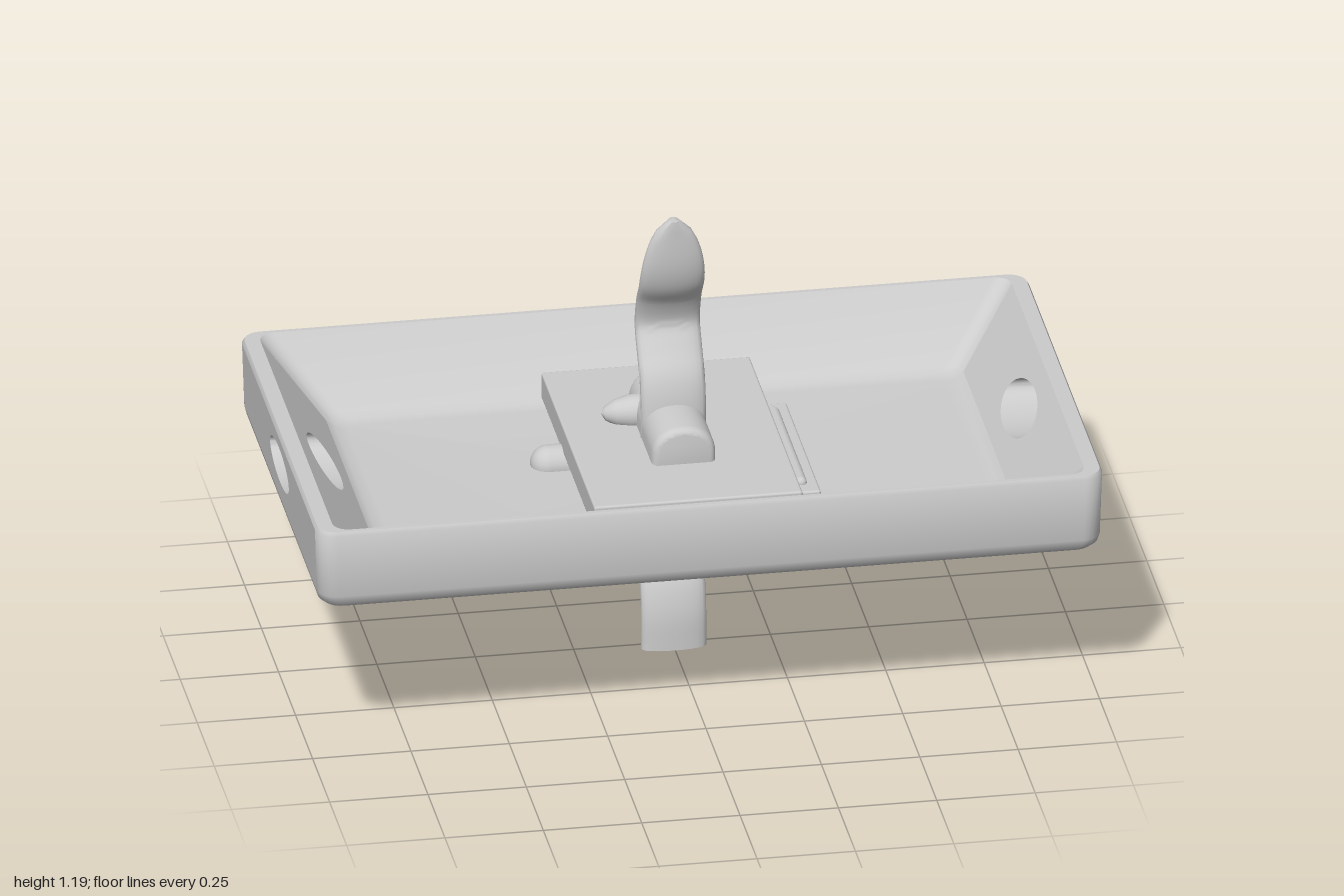
import * as THREE from 'three';
import { toCreasedNormals } from 'three/addons/utils/BufferGeometryUtils.js';
import { RoundedBoxGeometry } from 'three/addons/geometries/RoundedBoxGeometry.js';

const material = new THREE.MeshStandardMaterial({ color: 0xcccccc });

function add(parent, name, geometry, x = 0, y = 0, z = 0) {
  const mesh = new THREE.Mesh(geometry, material);
  mesh.name = name;
  mesh.position.set(x, y, z);
  parent.add(mesh);
  return mesh;
}

// Skin a list of closed loops of equal length; skip(band, edge) leaves gaps
function loft(loops, crease = 0.6, skip = () => false) {
  const pos = [];
  const n = loops[0].length;
  for (let i = 0; i + 1 < loops.length; i++) {
    for (let j = 0; j < n; j++) {
      if (skip(i, j)) continue;
      const k = (j + 1) % n;
      const [a0, a1, b0, b1] = [loops[i][j], loops[i][k], loops[i + 1][j], loops[i + 1][k]];
      for (const p of [a0, b0, a1, a1, b0, b1]) pos.push(...p);
    }
  }
  const g = new THREE.BufferGeometry();
  g.setAttribute('position', new THREE.Float32BufferAttribute(pos, 3));
  return toCreasedNormals(g, crease);
}

// Horizontal rounded rectangle
const CORNER = 6;
function roundedLoop([hx, hz, r, y]) {
  const pts = [];
  for (let c = 0; c < 4; c++) {
    const sx = c === 0 || c === 3 ? 1 : -1;
    const sz = c < 2 ? 1 : -1;
    for (let i = 0; i <= CORNER; i++) {
      const t = (c + i / CORNER) * Math.PI / 2;
      pts.push([sx * (hx - r) + r * Math.cos(t), y, sz * (hz - r) + r * Math.sin(t)]);
    }
  }
  return pts;
}

// Flat end panel between two tray loops, pierced by the hand hole
const HOLE = { y: 0.578, rz: 0.138, ry: 0.048 };
const wallX = (lo, hi, y) => lo[0] + (hi[0] - lo[0]) * (y - lo[3]) / (hi[3] - lo[3]);
function endPanel(lo, hi, side, facing) {
  const a = lo[1] - lo[2], b = hi[1] - hi[2];
  const shape = new THREE.Shape([[-a, lo[3]], [a, lo[3]], [b, hi[3]], [-b, hi[3]]]
    .map(p => new THREE.Vector2(...p)));
  shape.holes.push(new THREE.Path().absellipse(0, HOLE.y, HOLE.rz, HOLE.ry, 0, Math.PI * 2, true));
  const g = new THREE.ShapeGeometry(shape, 20);
  const p = g.attributes.position;
  for (let i = 0; i < p.count; i++) {
    const u = p.getX(i), y = p.getY(i);
    p.setXYZ(i, side * wallX(lo, hi, y), y, -facing * u);
  }
  g.computeVertexNormals();
  return g;
}

function makeTray() {
  const tray = new THREE.Group();
  tray.name = 'tray';
  // half width, half depth, corner radius, height: under, up the outside, down the inside
  const profile = [
    [0, 0, 0, 0.445], [0.95, 0.535, 0.03, 0.445], [0.975, 0.56, 0.045, 0.45], [0.99, 0.575, 0.05, 0.465],
    [0.995, 0.58, 0.05, 0.485], [1, 0.585, 0.05, 0.655], [0.994, 0.579, 0.046, 0.665],
    [0.955, 0.567, 0.04, 0.665], [0.81, 0.44, 0.04, 0.492], [0.79, 0.42, 0.035, 0.481],
    [0.76, 0.39, 0.03, 0.478], [0, 0, 0, 0.478],
  ];
  const OUT = 4, IN = 7;
  const edges = [2 * (CORNER + 1) - 1, 4 * (CORNER + 1) - 1];
  add(tray, 'trayShell', loft(profile.map(roundedLoop), 0.7,
    (band, edge) => (band === OUT || band === IN) && edges.includes(edge)));

  for (const side of [1, -1]) {
    add(tray, 'outerEndWall', endPanel(profile[OUT], profile[OUT + 1], side, side));
    add(tray, 'innerEndWall', endPanel(profile[IN + 1], profile[IN], side, -side));
    // tunnel of the hand hole
    const ring = (lo, hi) => Array.from({ length: 40 }, (_, i) => {
      const t = i / 40 * Math.PI * 2;
      const y = HOLE.y + HOLE.ry * Math.sin(t);
      return [side * wallX(lo, hi, y), y, HOLE.rz * Math.cos(t)];
    });
    const rings = [ring(profile[OUT], profile[OUT + 1]), ring(profile[IN + 1], profile[IN])];
    add(tray, 'handHole', loft(side > 0 ? rings : rings.reverse()));
  }
  return tray;
}

// Wavy blade with a lens section and a rounded point
function makeBlade() {
  const path = new THREE.CatmullRomCurve3([
    [0, 0.025], [0.1, 0.023], [0.18, 0.002], [0.26, -0.05], [0.34, -0.08], [0.42, -0.06],
    [0.5, -0.015], [0.58, 0.017], [0.66, 0.02], [0.74, 0.002], [0.8, -0.038], [0.86, -0.07],
    [0.94, -0.047], [1.0, -0.005], [1.06, 0.015], [1.19, 0.025],
  ].map(([y, z]) => new THREE.Vector3(0, y, z)));
  const steps = 70, sides = 24;
  const rings = [];
  for (let i = 0; i <= steps; i++) {
    const t = i / steps;
    const p = path.getPoint(t), d = path.getTangent(t);
    if (i === 0 || i === steps) d.set(0, 1, 0);
    const k = Math.max(0, (p.y - 1) / 0.192);
    const w = 0.083 * Math.sqrt(Math.max(0.01, 1 - k * k));
    const h = 0.025 - 0.008 * k;
    rings.push(Array.from({ length: sides }, (_, j) => {
      const a = j / sides * Math.PI * 2;
      const n = h * Math.sign(Math.sin(a)) * Math.abs(Math.sin(a)) ** 0.8;
      return [w * Math.cos(a), p.y - d.z * n, p.z + d.y * n];
    }));
  }
  const cap = (y, z) => Array.from({ length: sides }, () => [0, y, z]);
  return loft([cap(0, 0.025), ...rings, cap(1.192, 0.025)], 0.8);
}

// Domed block through which the blade passes
function makeGuard() {
  const s = new THREE.Shape();
  s.moveTo(-0.066, 0.57);
  s.lineTo(0.066, 0.57);
  s.lineTo(0.066, 0.615);
  s.bezierCurveTo(0.062, 0.65, 0.035, 0.666, 0, 0.666);
  s.bezierCurveTo(-0.035, 0.666, -0.062, 0.65, -0.066, 0.615);
  const g = new THREE.ExtrudeGeometry(s, {
    depth: 0.32, bevelThickness: 0.025, bevelSize: 0.015, bevelSegments: 4, curveSegments: 10,
  });
  g.translate(0, 0, -0.16);
  return toCreasedNormals(g, 0.6);
}

export function createModel() {
  const model = new THREE.Group();
  model.name = 'trayWithBlade';
  model.add(makeTray());

  // Stacked plates in the middle
  add(model, 'topPlate', new RoundedBoxGeometry(0.53, 0.072, 0.78, 2, 0.006), 0, 0.55, 0);
  add(model, 'lowerPlate', new RoundedBoxGeometry(0.435, 0.08, 0.51, 2, 0.006), 0.1175, 0.477, 0);
  add(model, 'lowerPlateRidge', new RoundedBoxGeometry(0.2, 0.04, 0.43, 4, 0.015), 0.208, 0.513, 0);

  add(model, 'guard', makeGuard());
  add(model, 'blade', makeBlade());

  // Pointed pin beside the guard
  const pin = new THREE.LatheGeometry(
    [[0.045, 0], [0.043, 0.03], [0.033, 0.065], [0.018, 0.09], [0, 0.1]].map(p => new THREE.Vector2(...p)), 24);
  add(model, 'pin', pin, -0.065, 0.607, -0.09).rotation.z = Math.PI / 2;

  // Rounded pegs lying across, partly sunk in the floor
  const peg = (name, x0, x1, r, y, z) => {
    add(model, name, new THREE.CapsuleGeometry(r, x1 - x0 - 2 * r, 8, 20), (x0 + x1) / 2, y, z)
      .rotation.z = Math.PI / 2;
  };
  peg('sidePeg', -0.345, -0.15, 0.047, 0.481, -0.09);
  peg('lowerPeg', -0.14, 0.1, 0.042, 0.472, 0.125);
  peg('lowerPeg', -0.14, 0.1, 0.042, 0.472, -0.125);
  return model;
}
